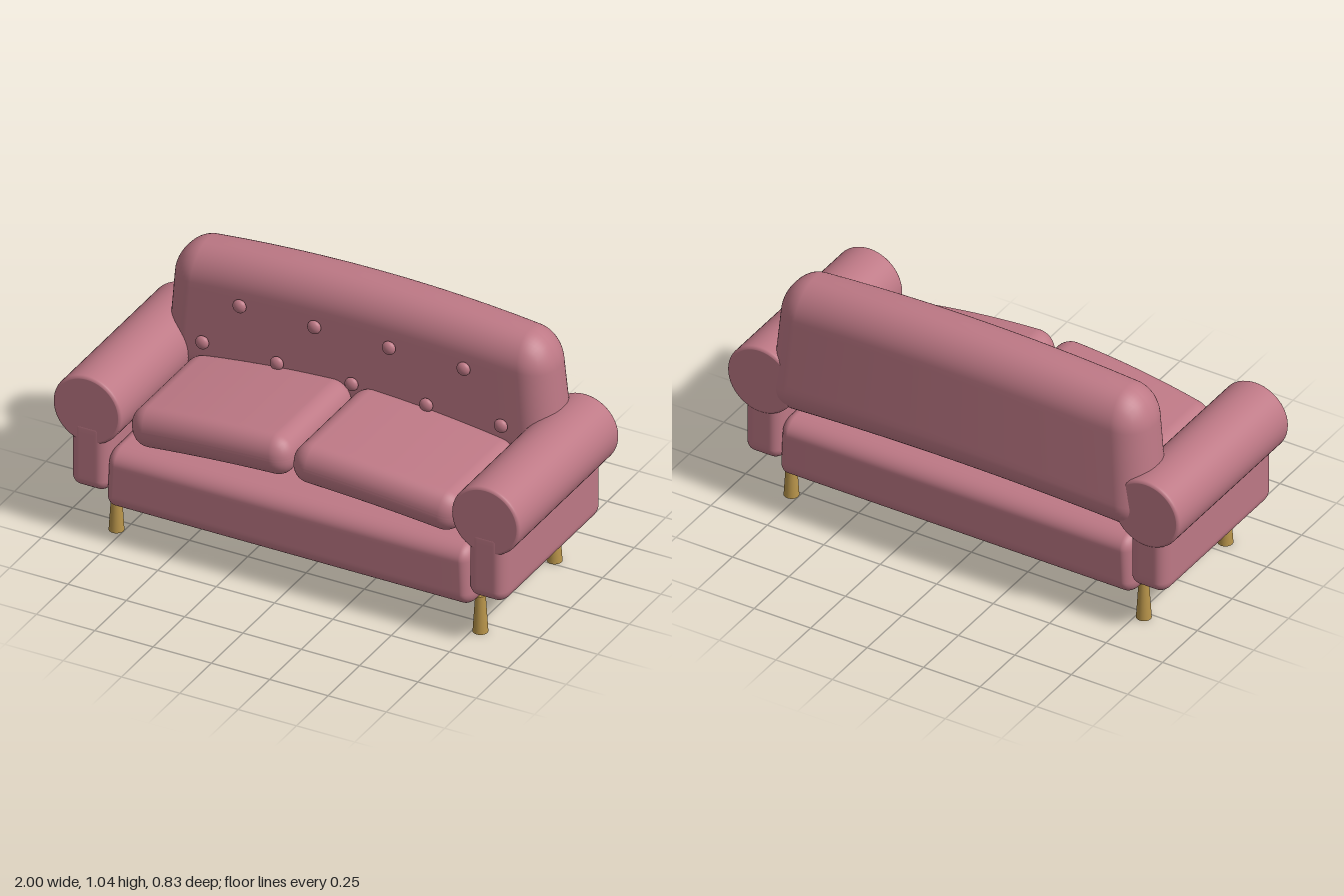
import * as THREE from 'three';
import { mergeVertices } from 'three/addons/utils/BufferGeometryUtils.js';

// Upholstered block: box of half sizes h with corner radii r, then reshaped by an optional rule
function softBlock(h, r, reshape) {
  let geo = new THREE.BoxGeometry(2, 2, 2, 24, 24, 24);
  geo.deleteAttribute('uv');
  geo.deleteAttribute('normal');
  geo = mergeVertices(geo, 1e-4);
  const pos = geo.attributes.position;
  const v = new THREE.Vector3();
  for (let i = 0; i < pos.count; i++) {
    const u = [pos.getX(i), pos.getY(i), pos.getZ(i)];
    const c = u.map((a) => Math.tan(Math.max(Math.abs(a) - 0.5, 0) * Math.PI / 2));
    const len = Math.hypot(...c);
    const p = u.map((a, k) =>
      Math.sign(a) * (Math.min(Math.abs(a) / 0.5, 1) * (h[k] - r[k]) + r[k] * c[k] / len));
    v.set(...p);
    if (reshape) reshape(v);
    pos.setXYZ(i, v.x, v.y, v.z);
  }
  geo.computeVertexNormals();
  return geo;
}

export function createModel() {
  const sofa = new THREE.Group();
  sofa.name = 'sofa';
  const fabric = new THREE.MeshStandardMaterial({ color: 0xbd7885 });
  fabric.name = 'rose fabric';
  const wood = new THREE.MeshStandardMaterial({ color: 0xb8944a });
  wood.name = 'golden wood';

  const add = (name, geo, mat, x, y, z) => {
    const mesh = new THREE.Mesh(geo, mat);
    mesh.name = name;
    mesh.position.set(x, y, z);
    sofa.add(mesh);
    return mesh;
  };

  // Seat base, a touch narrower at the top
  add('seatBase', softBlock([0.785, 0.13, 0.395], [0.045, 0.06, 0.075], (v) => {
    v.x *= 1 - 0.06 * v.y;
  }), fabric, 0, 0.27, 0.015);

  // Backrest: arched upwards, wider and deeper towards the bottom, flat in front
  add('backrest', softBlock([0.8, 0.29, 0.125], [0.11, 0.13, 0.115], (v) => {
    const arch = 1 - (v.x / 0.8) ** 2;
    const drop = 0.29 - v.y;
    v.x *= 1 + 0.115 * drop;
    const rear = (0.125 - v.z) / 0.25;
    v.z -= rear * (0.022 * arch + 0.05 * drop);
    v.y += 0.04 * arch;
  }), fabric, 0, 0.71, -0.25);

  // Rolled arm profile with a small edge rounding
  const len = 0.795, R = 0.146;
  const half = [[0, 0], [0.134, 0], [0.136, 0], [0.142, 0.003], [0.145, 0.008], [R, 0.012], [R, 0.02]];
  const profile = [...half, ...half.map(([r, y]) => [r, len - y]).reverse()]
    .map(([r, y]) => new THREE.Vector2(r, y - len / 2));
  const rollGeo = new THREE.LatheGeometry(profile, 48).rotateX(Math.PI / 2);
  const panelGeo = softBlock([0.083, 0.16, 0.396], [0.045, 0.05, 0.06]);
  const legGeo = new THREE.CylinderGeometry(0.02, 0.03, 0.16, 24);

  for (const side of [1, -1]) {
    const label = side > 0 ? 'left' : 'right';
    add(label + 'ArmRoll', rollGeo, fabric, side * 0.854, 0.555, 0.013);
    add(label + 'ArmPanel', panelGeo, fabric, side * 0.852, 0.36, 0.015);

    // Seat cushion, sloping down towards the arm
    add(label + 'SeatCushion', softBlock([0.352, 0.084, 0.285], [0.075, 0.078, 0.07], (v) => {
      const out = v.x * side;
      v.z += v.z > 0 ? -0.03 * (out / 0.704 + 0.5) ** 2 : 0;
      v.x += side * 0.1 * v.y;
      v.y += -0.1 * out + 0.012 * (1 - (out / 0.352) ** 2);
    }), fabric, side * 0.354, 0.522, 0.12);

    add(label + 'FrontLeg', legGeo, wood, side * 0.78, 0.08, 0.31);
    add(label + 'BackLeg', legGeo, wood, side * 0.78, 0.08, -0.277);
  }

  // Tufting buttons in two staggered rows
  const buttonGeo = new THREE.SphereGeometry(0.028, 20, 14).scale(1, 1, 0.64);
  for (const [y, xs] of [[0.845, [-0.48, -0.16, 0.16, 0.48]], [0.64, [-0.64, -0.32, 0, 0.32, 0.64]]]) {
    for (const x of xs) add('button', buttonGeo, fabric, x, y, -0.109);
  }
  return sofa;
}
